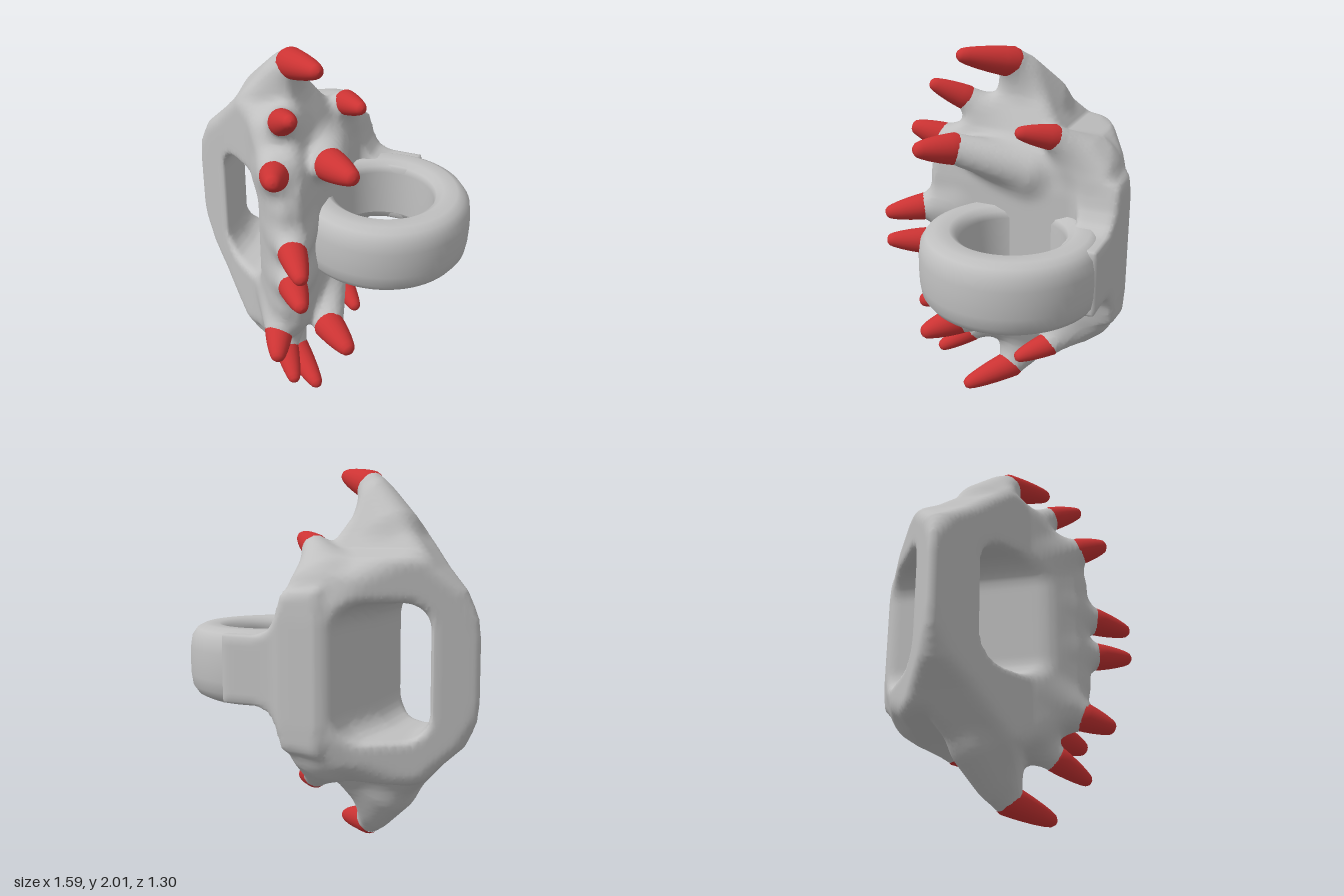
import * as THREE from 'three';

const grey = new THREE.MeshStandardMaterial({ color: 0xc0c0c0 });
grey.name = 'light grey';
const red = new THREE.MeshStandardMaterial({ color: 0xcc3333 });
red.name = 'claw red';

const { clamp, lerp } = THREE.MathUtils;

// Upper claws: name, root, nail start, tip, root radius, nail radius (h is height above y = 1)
const claws = [
  ['crownClaw', [-0.27, 0.68, -0.08], [-0.12, 0.908, 0.02], [0.11, 0.975, 0.225], 0.14, 0.08],
  ['upperClaw', [-0.18, 0.53, 0.02], [-0.07, 0.705, 0.26], [0.045, 0.8, 0.415], 0.13, 0.068],
  ['frontClaw', [-0.1, 0.39, 0.18], [-0.055, 0.48, 0.39], [0.005, 0.54, 0.555], 0.13, 0.077],
  ['innerClaw', [0.02, 0.39, -0.13], [0.165, 0.5, 0.22], [0.345, 0.53, 0.365], 0.12, 0.085],
  ['rearClaw', [-0.06, 0.43, -0.44], [0.065, 0.595, -0.285], [0.21, 0.645, -0.135], 0.14, 0.068],
  ['middleClaw', [-0.01, 0.13, 0.28], [0.06, 0.105, 0.46], [0.185, 0.08, 0.645], 0.11, 0.075],
].map(([name, root, nail, tip, rootR, nailR]) => ({ name, rootR, nailR,
  root: new THREE.Vector3(...root), nail: new THREE.Vector3(...nail), tip: new THREE.Vector3(...tip) }));

// Body outlines: plan (x, z), front (x, h) and side (z, h)
const plan = [[-0.81, -0.22], [-0.13, -0.645], [0.1, -0.645], [0.1, 0.39], [0, 0.46], [-0.1, 0.4],
  [-0.3, 0.17], [-0.5, 0.02]];
const front = [[-0.81, -1], [-0.81, 0.16], [-0.785, 0.26], [-0.71, 0.39], [-0.59, 0.5], [-0.5, 0.6],
  [-0.19, 0.92], [-0.13, 0.88], [-0.08, 0.75], [0, 0.6], [0.09, 0.42], [0.11, 0.3], [0.11, -1]];
const side = [[-0.645, -1], [-0.645, 0.25], [-0.63, 0.34], [-0.57, 0.46], [-0.46, 0.55], [-0.29, 0.59],
  [-0.23, 0.67], [-0.05, 0.95], [0.07, 0.88], [0.12, 0.72], [0.22, 0.65], [0.34, 0.53], [0.42, 0.42],
  [0.46, 0.3], [0.46, -1]];
// Web from the body to the ring (x, h)
const web = [[-0.1, -1], [-0.1, 0.4], [0.08, 0.38], [0.12, 0.27], [0.17, 0.2], [0.24, 0.175],
  [0.42, 0.175], [0.42, -1]];

// Smooth minimum and maximum for soft joints and edges
function smin(a, b, k) {
  const t = Math.max(k - Math.abs(a - b), 0) / k;
  return Math.min(a, b) - t * t * k / 4;
}
const smax = (a, b, k) => -smin(-a, -b, k);

// Signed distance to a polygon, negative inside
function polygon(pts, x, y) {
  let d = Infinity, inside = false;
  for (let i = 0, j = pts.length - 1; i < pts.length; j = i++) {
    const [ax, ay] = pts[i], [bx, by] = pts[j];
    const ex = bx - ax, ey = by - ay, wx = x - ax, wy = y - ay;
    const t = clamp((wx * ex + wy * ey) / (ex * ex + ey * ey), 0, 1);
    d = Math.min(d, Math.hypot(wx - ex * t, wy - ey * t));
    if ((ay > y) !== (by > y) && x < ax + ex * (y - ay) / ey) inside = !inside;
  }
  return inside ? -d : d;
}

// Distance to the tapered finger under a claw
function finger({ root, nail, rootR, nailR }, x, h, z) {
  const dx = nail.x - root.x, dy = nail.y - root.y, dz = nail.z - root.z;
  const px = x - root.x, py = h - root.y, pz = z - root.z;
  const t = clamp((px * dx + py * dy + pz * dz) / (dx * dx + dy * dy + dz * dz), 0, 0.96);
  return Math.hypot(px - dx * t, py - dy * t, pz - dz * t) - lerp(rootR, nailR * 0.96, t);
}

// Grip body: three outlines intersected, web and fingers blended on, grip hole cut out
function bodyField(x, y, z) {
  const h = Math.abs(y - 1);
  let d = smax(smax(polygon(plan, x, z), polygon(front, x, h), 0.05), polygon(side, z, h), 0.06);
  const webD = smax(polygon(web, x, h), Math.abs(z + 0.54) - 0.102, 0.03);
  d = smin(d, webD, 0.06);
  for (const c of claws) d = smin(d, finger(c, x, h, z), 0.07);
  // Rounded hole through the body, wider towards the back
  const halfW = 0.16 + 0.05 * clamp((-0.15 - z) / 0.3, 0, 1), r = 0.13;
  const qx = Math.abs(x + 0.38) - halfW + r, qy = h - 0.335 + r;
  const hole = Math.hypot(Math.max(qx, 0), Math.max(qy, 0)) + Math.min(Math.max(qx, qy), 0) - r;
  return smax(d, -hole, 0.04);
}

// Smooth quad mesh of the surface where a field is zero
function surfaceOf(field, min, max, step) {
  const n = min.map((m, a) => Math.ceil((max[a] - m) / step) + 1);
  const stride = [n[1] * n[2], n[2], 1];
  const values = new Float32Array(n[0] * n[1] * n[2]), cells = new Int32Array(values.length).fill(-1);
  const each = (start, end, fn) => {
    for (let i = start; i < n[0] - end; i++)
      for (let j = start; j < n[1] - end; j++)
        for (let k = start; k < n[2] - end; k++) fn([i, j, k], i * stride[0] + j * stride[1] + k);
  };
  each(0, 0, (p, id) => { values[id] = field(...p.map((v, a) => min[a] + v * step)); });
  const pos = [], index = [];
  // One vertex per crossed cell, at the mean of its edge crossings
  each(0, 1, (p, id) => {
    const sum = [0, 0, 0];
    let hits = 0;
    for (let c = 0; c < 8; c++) {
      const bits = [c & 1, c >> 1 & 1, c >> 2 & 1];
      const from = id + bits[0] * stride[0] + bits[1] * stride[1] + bits[2];
      for (let a = 0; a < 3; a++) {
        if (bits[a]) continue;
        const v0 = values[from], v1 = values[from + stride[a]];
        if ((v0 < 0) === (v1 < 0)) continue;
        for (let b = 0; b < 3; b++) sum[b] += bits[b];
        sum[a] += v0 / (v0 - v1);
        hits++;
      }
    }
    if (!hits) return;
    cells[id] = pos.length / 3;
    pos.push(...sum.map((s, a) => min[a] + (p[a] + s / hits) * step));
  });
  // One quad per crossed grid edge
  each(1, 1, (p, id) => {
    for (let a = 0; a < 3; a++) {
      const inside = values[id] < 0;
      if (inside === (values[id + stride[a]] < 0)) continue;
      const b = stride[(a + 1) % 3], c = stride[(a + 2) % 3];
      const q = [id - b - c, id - c, id, id - b].map((i) => cells[i]);
      if (!inside) q.reverse();
      index.push(q[0], q[1], q[2], q[0], q[2], q[3]);
    }
  });
  const g = new THREE.BufferGeometry();
  g.setAttribute('position', new THREE.Float32BufferAttribute(pos, 3));
  g.setIndex(index);
  g.computeVertexNormals();
  return g;
}

// Finger ring: rounded band
function makeRing() {
  const prof = [[0.268, 0.87], [0.28, 0.835], [0.315, 0.81], [0.39, 0.81], [0.43, 0.83], [0.458, 0.87],
    [0.467, 0.93], [0.469, 1]];
  const pts = prof.map(([x, y]) => new THREE.Vector2(x, y));
  for (let i = prof.length - 2; i >= 0; i--) pts.push(new THREE.Vector2(prof[i][0], 2 - prof[i][1]));
  pts.push(pts[0].clone());
  return new THREE.LatheGeometry(pts, 64).translate(0.333, 0, -0.17);
}

// Nail: blunt cone standing on its base at the end of a finger
function makeNail(length, r) {
  const prof = [[0.9, -0.08], [1, 0], [0.93, 0.2], [0.83, 0.42], [0.7, 0.64], [0.55, 0.83], [0.43, 0.93],
    [0.25, 0.985], [0, 1]];
  return new THREE.LatheGeometry(prof.map(([x, y]) => new THREE.Vector2(x * r, y * length)), 20);
}

export function createModel() {
  const model = new THREE.Group();
  model.name = 'clawGrip';
  const add = (name, geometry, material) => {
    const mesh = new THREE.Mesh(geometry, material);
    mesh.name = name;
    model.add(mesh);
    return mesh;
  };
  add('gripBody', surfaceOf(bodyField, [-0.87, -0.05, -0.71], [0.51, 2.05, 0.61], 0.02), grey);
  add('fingerRing', makeRing(), grey);

  // Nails above, repeated below by reflection about y = 1
  for (const { name, nail, tip, nailR } of claws) {
    for (const flip of [1, -1]) {
      const from = new THREE.Vector3(nail.x, 1 + flip * nail.y, nail.z);
      const axis = new THREE.Vector3(tip.x, 1 + flip * tip.y, tip.z).sub(from);
      const mesh = add(name + (flip > 0 ? 'Top' : 'Bottom'), makeNail(axis.length(), nailR), red);
      mesh.position.copy(from);
      mesh.quaternion.setFromUnitVectors(new THREE.Vector3(0, 1, 0), axis.normalize());
    }
  }
  return model;
}
